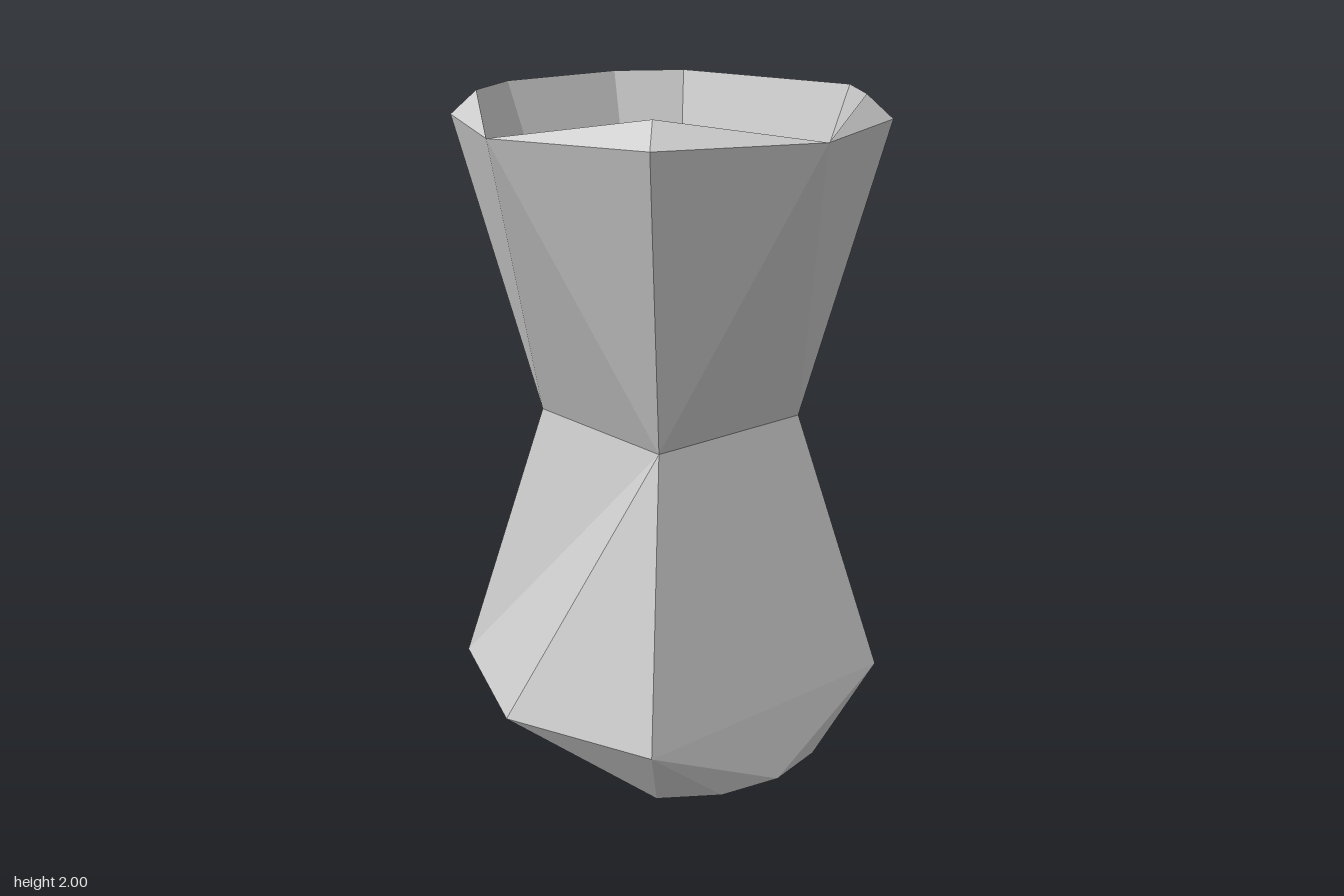
import * as THREE from 'three';

const V = (x, y, z) => new THREE.Vector3(x, y, z);

// Flat-shaded mesh from convex polygons; facing(centroid) gives the side each one shows.
function facetMesh(name, polygons, facing) {
  const pos = [];
  for (const poly of polygons) {
    for (let i = 1; i < poly.length - 1; i++) {
      let [a, b, c] = [poly[0], poly[i], poly[i + 1]];
      const normal = b.clone().sub(a).cross(c.clone().sub(a));
      const centre = a.clone().add(b).add(c).divideScalar(3);
      if (normal.dot(facing(centre)) < 0) [b, c] = [c, b];
      for (const p of [a, b, c]) pos.push(p.x, p.y, p.z);
    }
  }
  const geo = new THREE.BufferGeometry();
  geo.setAttribute('position', new THREE.Float32BufferAttribute(pos, 3));
  geo.computeVertexNormals();
  const mesh = new THREE.Mesh(geo, new THREE.MeshStandardMaterial({ color: 0xcccccc, flatShading: true }));
  mesh.name = name;
  return mesh;
}

const outward = c => V(c.x, 0, c.z);
const inward = c => V(-c.x, 0, -c.z);

// Four corners, counted front left, back left, back right, front right
const square = (r, y) => [[1, 1], [1, -1], [-1, -1], [-1, 1]].map(([x, z]) => V(x * r, y, z * r));

export function createModel() {
  const group = new THREE.Group();
  group.name = 'cup';

  const waist = square(0.275, 1.04);
  const shoulder = square(0.46, 0.22);
  const foot = square(0.35, 0);
  const lip = square(0.45, 1.93);
  const crest = square(0.395, 2);
  // Lip midpoints: left, back, right, front
  const mid = [V(0.635, 1.93, 0), V(0, 1.93, -0.638), V(-0.635, 1.93, 0), V(0, 1.93, 0.635)];

  // Upper wall: one wide and two narrow triangles per side
  const upper = [];
  for (let i = 0; i < 4; i++) {
    const j = (i + 1) % 4;
    upper.push([waist[i], waist[j], mid[i]], [waist[i], mid[i], lip[i]], [waist[j], lip[j], mid[i]]);
  }
  group.add(facetMesh('upperWall', upper, outward));

  // Lower wall: three plain sides and a front with a jutting point
  const frontPoint = V(0, 0.22, 0.635);
  const lower = [0, 1, 2].map(i => [waist[i], waist[i + 1], shoulder[i + 1], shoulder[i]]);
  lower.push(
    [shoulder[3], frontPoint, waist[0]],
    [shoulder[3], waist[0], waist[3]],
    [frontPoint, shoulder[0], waist[0]]);
  group.add(facetMesh('lowerWall', lower, outward));

  // Base chamfer: straight at front and back, rounded at the two sides
  const chamfer = [
    [shoulder[1], shoulder[2], foot[2], foot[1]],
    [frontPoint, foot[3], foot[0]],
    [frontPoint, foot[0], shoulder[0]],
    [frontPoint, shoulder[3], foot[3]]];
  const outline = [];
  for (const [s, a, b] of [[1, 0, 1], [-1, 2, 3]]) {
    const arc = [foot[a], V(s * 0.46, 0, s * 0.19), V(s * 0.5, 0, 0), V(s * 0.46, 0, -s * 0.19), foot[b]];
    outline.push(...arc);
    chamfer.push([shoulder[a], shoulder[b], arc[2]]);
    for (let i = 0; i < 4; i++) chamfer.push([shoulder[i < 2 ? a : b], arc[i], arc[i + 1]]);
  }
  group.add(facetMesh('baseChamfer', chamfer, outward));
  group.add(facetMesh('baseBottom', [outline], () => V(0, -1, 0)));

  // Rim: chipped down to the lip at left and front, higher at right and back
  const backChip = V(0.21, 2, -0.52);
  const rightBack = V(-0.515, 2, -0.21);
  const rightFront = V(-0.515, 2, 0.2);
  const rim = [
    [mid[3], lip[0], crest[0]], [lip[0], mid[0], crest[0]],
    [mid[0], lip[1], crest[1]], [lip[1], backChip, crest[1]],
    [lip[1], mid[1], backChip], [mid[1], crest[2], backChip],
    [mid[1], lip[2], crest[2]], [lip[2], rightBack, crest[2]],
    [lip[2], mid[2], rightBack], [mid[2], rightFront, rightBack],
    [mid[2], lip[3], rightFront], [lip[3], crest[3], rightFront],
    [lip[3], mid[3], crest[3]]];
  group.add(facetMesh('rim', rim, () => V(0, 1, 0)));

  // Hollow: facets running down to a point
  const apex = V(0, 0.37, 0);
  const mouth = [mid[3], crest[0], mid[0], crest[1], backChip, crest[2], rightBack, rightFront, crest[3]];
  const hollow = mouth.map((p, i) => [p, mouth[(i + 1) % mouth.length], apex]);
  group.add(facetMesh('hollow', hollow, inward));

  return group;
}
